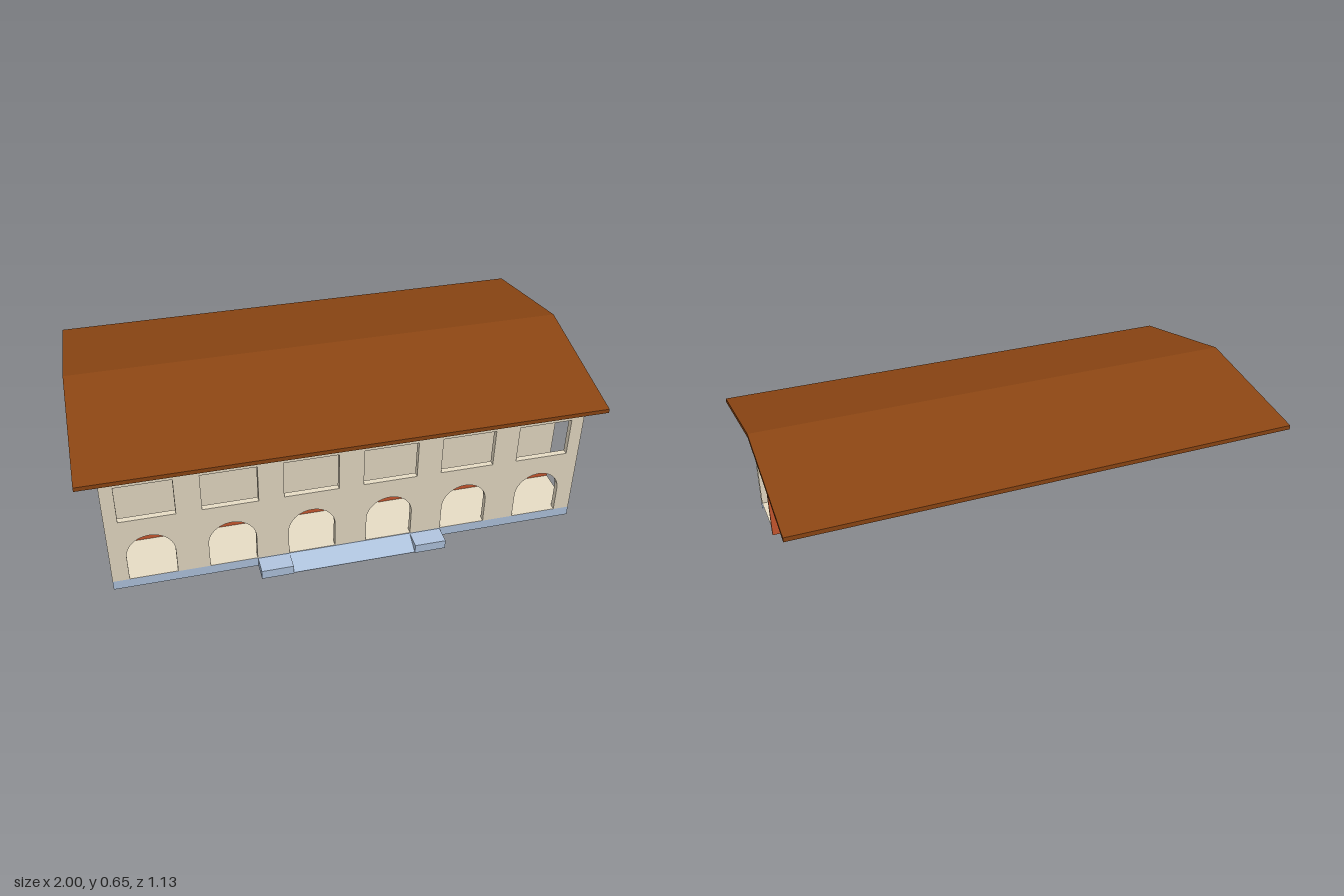
import * as THREE from 'three';

const material = (name, color, side = THREE.FrontSide) => {
  const m = new THREE.MeshStandardMaterial({ color, side });
  m.name = name;
  return m;
};

export function createModel() {
  const group = new THREE.Group();
  const plaster = material('plaster', 0xe6dbc4, THREE.DoubleSide);
  const red = material('redPaint', 0xc8582f);
  const stone = material('blueStone', 0xb0c4de, THREE.DoubleSide);
  const brown = material('roofBrown', 0x8b4513);

  const add = (name, geometry, mat, x = 0, y = 0, z = 0) => {
    const mesh = new THREE.Mesh(geometry, mat);
    mesh.name = name;
    mesh.position.set(x, y, z);
    group.add(mesh);
    return mesh;
  };
  // Box given by its bounds
  const block = (name, mat, x0, x1, y0, y1, z0, z1) =>
    add(name, new THREE.BoxGeometry(x1 - x0, y1 - y0, z1 - z0), mat,
      (x0 + x1) / 2, (y0 + y1) / 2, (z0 + z1) / 2);
  // Profile of [z, y] points extruded along x, centred on x = 0
  const alongX = (name, points, length, mat) => {
    const shape = new THREE.Shape(points.map(([z, y]) => new THREE.Vector2(-z, y)));
    const g = new THREE.ExtrudeGeometry(shape, { depth: length, bevelEnabled: false });
    g.translate(0, 0, -length / 2).rotateY(Math.PI / 2);
    return add(name, g, mat);
  };

  const half = 0.92, floorY = 0.04;

  // Gabled roof with overhanging eaves
  alongX('roof', [
    [0.525, 0.52], [-0.02, 0.63], [-0.565, 0.52],
    [-0.565, 0.537], [-0.02, 0.647], [0.525, 0.537],
  ], 2, brown);

  // Gallery wall with six arches below and six windows above
  const wall = new THREE.Shape();
  wall.moveTo(-half, floorY).lineTo(half, floorY).lineTo(half, 0.525).lineTo(-half, 0.525).closePath();
  for (let i = 0; i < 6; i++) {
    const x = (i - 2.5) * 0.306;
    const arch = new THREE.Path();
    arch.moveTo(x - 0.091, floorY + 0.001).lineTo(x - 0.091, 0.15);
    arch.absarc(x, 0.15, 0.091, Math.PI, 0, true);
    arch.lineTo(x + 0.091, floorY + 0.001).closePath();
    const win = new THREE.Path();
    win.moveTo(x - 0.105, 0.323).lineTo(x - 0.105, 0.482);
    win.lineTo(x + 0.105, 0.482).lineTo(x + 0.105, 0.323).closePath();
    wall.holes.push(arch, win);
  }
  const wallGeometry = new THREE.ExtrudeGeometry(wall, { depth: 0.023, bevelEnabled: false, curveSegments: 12 });
  // Leave the two ends of the wall open
  const p = wallGeometry.attributes.position;
  const kept = [];
  for (let t = 0; t < p.count; t += 3) {
    const atEnd = [0, 1, 2].every((k) => Math.abs(p.getX(t + k)) > half - 0.001);
    if (!atEnd) kept.push(t, t + 1, t + 2);
  }
  wallGeometry.clearGroups();
  wallGeometry.setIndex(kept);
  add('galleryWall', wallGeometry, plaster, 0, 0, 0.467);

  // Gallery floor and the face of its plinth
  const floor = new THREE.PlaneGeometry(2 * half, 0.22).rotateX(-Math.PI / 2);
  add('galleryFloor', floor, plaster, 0, floorY, 0.38);
  add('plinth', new THREE.PlaneGeometry(2 * half, floorY), stone, 0, floorY / 2, 0.49);

  // Rear wall, its lower front painted red
  block('rearWallLower', [plaster, plaster, plaster, plaster, red, plaster],
    -half, half, 0.003, 0.125, 0.264, 0.281);
  block('rearWallUpper', plaster, -half, half, 0.125, 0.53, 0.264, 0.281);
  block('rearRedPanel', red, 0.73, half + 0.001, 0.003, 0.53, 0.261, 0.268);

  // Entrance ramp between two low side blocks
  alongX('ramp', [[0.49, 0], [0.49, 0.038], [0.562, 0.002], [0.562, 0]].reverse(), 0.49, stone);
  for (const s of [-1, 1]) {
    block('rampSide', stone, s * 0.305 - 0.062, s * 0.305 + 0.062, 0, 0.038, 0.491, 0.565);
  }
  return group;
}
